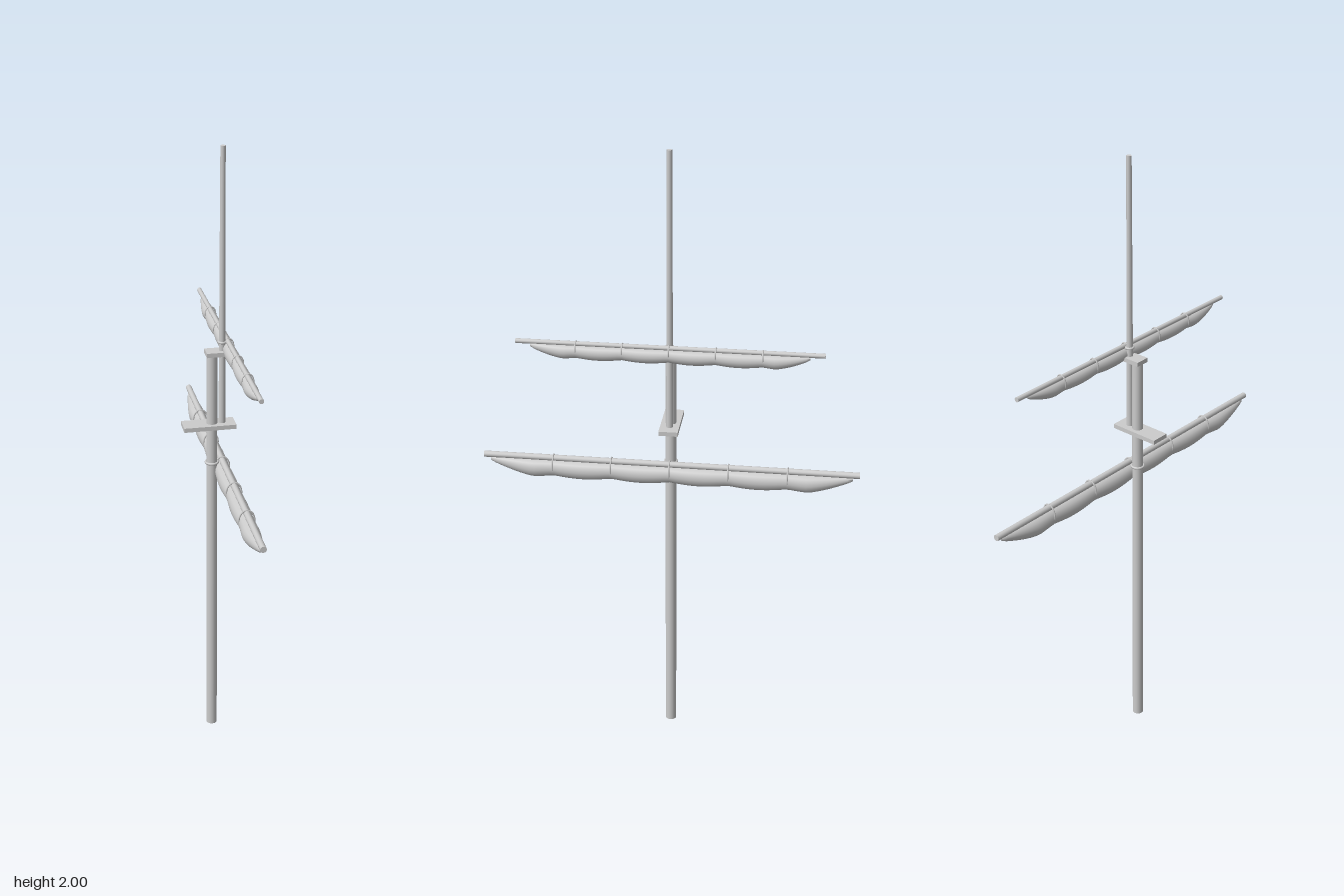
import * as THREE from 'three';

const material = new THREE.MeshStandardMaterial({ color: 0xcccccc, side: THREE.DoubleSide });

function add(parent, name, geometry, x, y, z) {
  const mesh = new THREE.Mesh(geometry, material);
  mesh.name = name;
  mesh.position.set(x, y, z);
  parent.add(mesh);
  return mesh;
}

// Furled sail: ellipse sections along z, hung from a level top edge and pinched at the ties
function sailGeometry(halfLength, tieGap, rx, ry) {
  const rings = 72, sides = 16, pos = [], index = [];
  for (let i = 0; i <= rings; i++) {
    const t = (i / rings) * 2 - 1;
    const z = t * halfLength;
    const taper = 0.25 + 0.75 * Math.pow(Math.min(1, (1 - Math.abs(t)) / 0.24), 0.7);
    const bulge = 0.87 + 0.13 * Math.abs(Math.sin((Math.PI * z) / tieGap));
    const s = taper * bulge;
    for (let j = 0; j < sides; j++) {
      const a = (j / sides) * Math.PI * 2;
      pos.push(Math.cos(a) * rx * s, -ry * s + Math.sin(a) * ry * s, z);
    }
  }
  for (let i = 0; i < rings; i++) {
    for (let j = 0; j < sides; j++) {
      const a = i * sides + j, b = i * sides + ((j + 1) % sides);
      index.push(a, b, b + sides, a, b + sides, a + sides);
    }
  }
  // End caps
  for (const [ring, flip] of [[0, true], [rings, false]]) {
    const o = ring * sides;
    for (let j = 1; j < sides - 1; j++) {
      index.push(o, o + (flip ? j + 1 : j), o + (flip ? j : j + 1));
    }
  }
  const g = new THREE.BufferGeometry();
  g.setAttribute('position', new THREE.Float32BufferAttribute(pos, 3));
  g.setIndex(index);
  g.computeVertexNormals();
  return g;
}

// A yard with its furled sail and the ties that hold it
function makeYard(name, o) {
  const yard = new THREE.Group();
  yard.name = name;
  yard.position.set(o.x, o.y, -0.002);
  const spar = add(yard, name + 'Spar', new THREE.CylinderGeometry(o.r, o.r, o.half * 2, 12), 0, 0, 0);
  spar.rotation.x = Math.PI / 2;
  add(yard, name + 'Sail', sailGeometry(o.sailHalf, o.tieGap, o.rx, o.ry), o.sailX, -o.r * 0.6, 0);
  for (let k = -2; k <= 2; k++) {
    const tie = add(yard, name + 'Tie', new THREE.TorusGeometry(1, 0.1, 6, 20), o.sailX * 0.5, -o.ry * 0.75, k * o.tieGap);
    tie.scale.set(o.rx * 0.86, o.ry * 0.75 + o.r, 0.025);
  }
  return yard;
}

export function createModel() {
  const model = new THREE.Group();
  model.name = 'mast';
  const z = -0.002;

  // Lower and upper masts
  add(model, 'lowerMast', new THREE.CylinderGeometry(0.017, 0.018, 1.36, 16), 0.008, 0.68, z);
  add(model, 'upperMast', new THREE.CylinderGeometry(0.008, 0.011, 0.885, 12), 0.04, 1.5575, z);

  // Lookout platform and the cap joining the masts
  add(model, 'platform', new THREE.BoxGeometry(0.165, 0.014, 0.06), -0.002, 1.119, z);
  add(model, 'mastCap', new THREE.BoxGeometry(0.064, 0.014, 0.046), 0.02, 1.36, z);

  // Yards with furled sails
  model.add(makeYard('lowerYard', {
    x: 0.041, y: 0.994, r: 0.01, half: 0.593, sailHalf: 0.572, sailX: 0, tieGap: 0.185, rx: 0.028, ry: 0.031,
  }));
  model.add(makeYard('upperYard', {
    x: 0.057, y: 1.396, r: 0.0075, half: 0.47, sailHalf: 0.425, sailX: 0.002, tieGap: 0.142, rx: 0.021, ry: 0.023,
  }));

  // Rope collars holding the yards to the masts
  for (const [x, y, r] of [[0.008, 0.99, 0.019], [0.04, 1.394, 0.011]]) {
    const collar = add(model, 'yardCollar', new THREE.TorusGeometry(r, 0.004, 8, 20), x, y, z);
    collar.rotation.x = Math.PI / 2;
  }
  return model;
}
